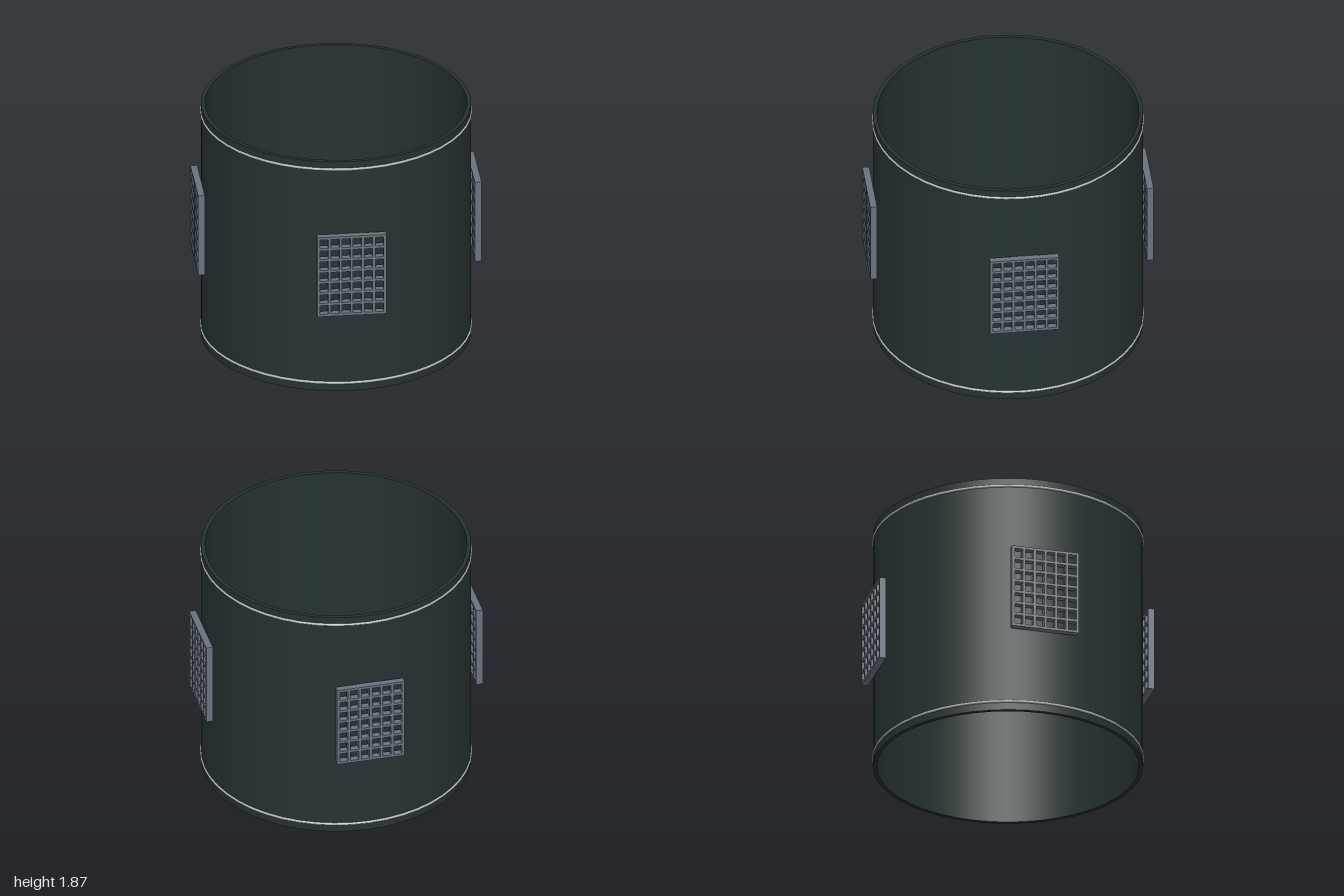
import * as THREE from 'three';

const mat = (name, color) => new THREE.MeshStandardMaterial({ name, color });

export function createModel() {
  const darkShell = mat('dark green grey', 0x263232);
  const slate = mat('slate grey', 0x69737f);
  const silver = mat('pale metal', 0xb4b8b8);
  const group = new THREE.Group();
  const add = (name, geometry, material, parent = group) => {
    const mesh = new THREE.Mesh(geometry, material);
    mesh.name = name;
    parent.add(mesh);
    return mesh;
  };

  const H = 1.87, OUT = 0.99, IN = 0.96, SEG = 48;

  // Open drum: outer and inner walls joined by flat rims
  add('outerWall', new THREE.CylinderGeometry(OUT, OUT, H, SEG, 1, true), darkShell).position.y = H / 2;
  const inner = new THREE.CylinderGeometry(IN, IN, H, SEG, 1, true);
  inner.scale(-1, 1, 1); // mirrored, then rewound so that it faces the axis
  const index = inner.index;
  const normal = inner.attributes.normal;
  for (let i = 0; i < normal.count; i++) {
    normal.setXYZ(i, -normal.getX(i), -normal.getY(i), -normal.getZ(i));
  }
  // Put the faces in inward winding
  const pos = inner.attributes.position;
  const a = new THREE.Vector3(), b = new THREE.Vector3(), c = new THREE.Vector3();
  for (let i = 0; i < index.count; i += 3) {
    const [p, q, r] = [index.getX(i), index.getX(i + 1), index.getX(i + 2)];
    a.fromBufferAttribute(pos, p);
    b.fromBufferAttribute(pos, q).sub(a);
    c.fromBufferAttribute(pos, r).sub(a);
    const n = b.cross(c);
    if (n.x * a.x + n.z * a.z > 0) {
      index.setX(i + 1, r);
      index.setX(i + 2, q);
    }
  }
  add('innerWall', inner, darkShell).position.y = H / 2;
  for (const [name, y, turn] of [['topRim', H, -1], ['bottomRim', 0, 1]]) {
    const rim = add(name, new THREE.RingGeometry(IN, OUT, SEG), darkShell);
    rim.rotation.x = turn * Math.PI / 2;
    rim.position.y = y;
  }

  // Thin metal bands near both ends
  for (const [name, y] of [['upperBand', 1.808], ['lowerBand', 0.067]]) {
    const band = add(name, new THREE.TorusGeometry(0.99, 0.01, 8, SEG), silver);
    band.rotation.x = Math.PI / 2;
    band.position.y = y;
  }

  // Grille plate with a 6 x 7 grid of openings
  const W = 0.51, GH = 0.646, BAR = 0.02, COLS = 6, ROWS = 7, DEPTH = 0.05;
  const rect = (path, x, y, w, h) => {
    path.moveTo(x, y);
    path.lineTo(x + w, y);
    path.lineTo(x + w, y + h);
    path.lineTo(x, y + h);
    path.closePath();
    return path;
  };
  const plate = rect(new THREE.Shape(), -W / 2, -GH / 2, W, GH);
  const px = (W - BAR) / COLS, py = (GH - BAR) / ROWS;
  for (let i = 0; i < COLS; i++) {
    for (let j = 0; j < ROWS; j++) {
      plate.holes.push(rect(new THREE.Path(),
        -W / 2 + BAR + i * px, -GH / 2 + BAR + j * py, px - BAR, py - BAR));
    }
  }
  const grille = new THREE.ExtrudeGeometry(plate, { depth: DEPTH, bevelEnabled: false });

  // One grille on each diagonal
  ['frontLeft', 'backLeft', 'backRight', 'frontRight'].forEach((side, i) => {
    const angle = Math.PI / 4 + i * Math.PI / 2;
    const mesh = add(side + 'Grille', grille, slate);
    mesh.rotation.y = angle;
    mesh.position.set(Math.sin(angle) * 0.995, 0.965, Math.cos(angle) * 0.995);
  });

  return group;
}
